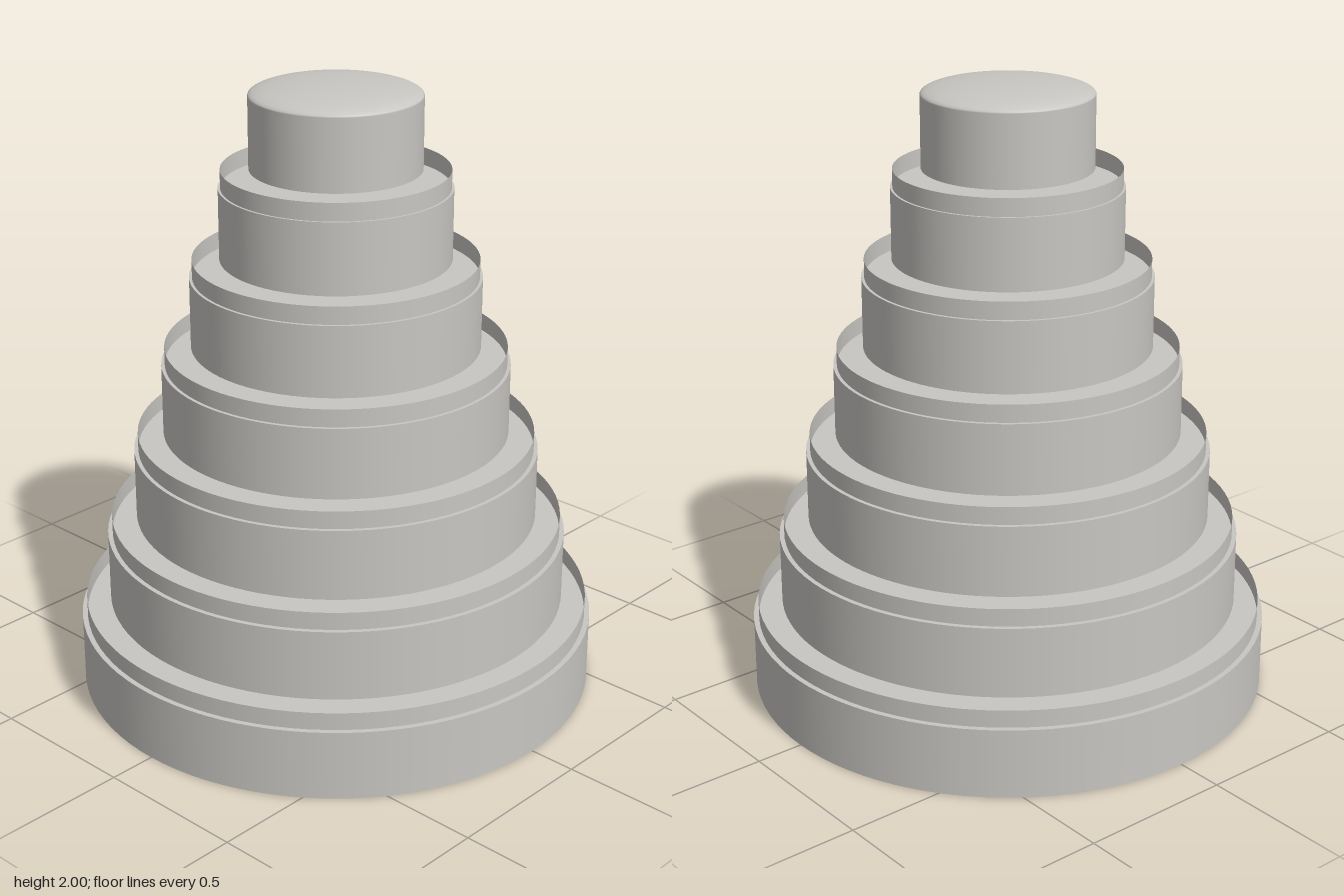
import * as THREE from 'three';

export function createModel() {
  const group = new THREE.Group();
  const stone = new THREE.MeshStandardMaterial({ color: 0xc8c6c2, side: THREE.DoubleSide });
  stone.name = 'pale stone';

  const TIERS = 7;
  const BODY = 0.2308; // height of each drum
  const RIM = 0.0577; // height of the thin wall standing on each drum
  const SEGMENTS = 96;

  const add = (name, geometry, y) => {
    const mesh = new THREE.Mesh(geometry, stone);
    mesh.name = name;
    mesh.position.y = y;
    group.add(mesh);
  };

  let radius = 0.845;
  for (let i = 0; i < TIERS; i++) {
    radius = 0.845 - i * 0.0958;
    const base = i * (BODY + RIM);
    // Closed drum; the next one starts level with the top of the rim
    add(`tier${i + 1}`, new THREE.CylinderGeometry(radius, radius, BODY, SEGMENTS), base + BODY / 2);
    // Thin open wall set slightly in from the drum's edge
    if (i < TIERS - 1) {
      const r = radius * 0.98;
      add(`rim${i + 1}`, new THREE.CylinderGeometry(r, r, RIM, SEGMENTS, 1, true), base + BODY + RIM / 2);
    }
  }

  // Shallow dome on the top drum
  const top = TIERS * BODY + (TIERS - 1) * RIM;
  const dome = new THREE.SphereGeometry(1, SEGMENTS, 16, 0, Math.PI * 2, 0, Math.PI / 2);
  dome.scale(radius, 2 - top, radius);
  add('dome', dome, top);

  return group;
}
